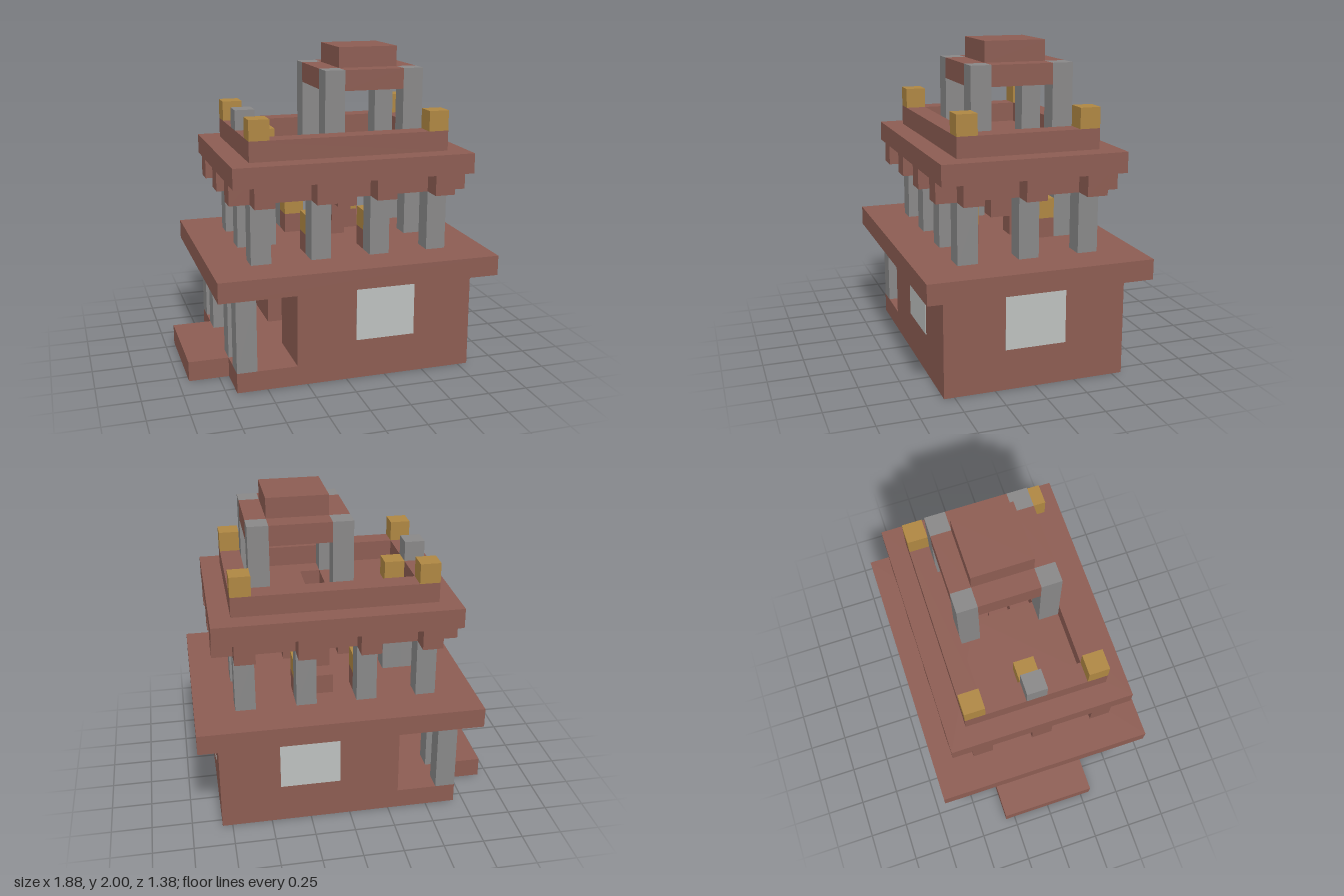
import * as THREE from 'three';

const U = 0.125; // block size

export function createModel() {
  const model = new THREE.Group();
  model.name = 'pavilionHouse';

  const material = (name, color) => {
    const m = new THREE.MeshStandardMaterial({ color });
    m.name = name;
    return m;
  };
  const brick = material('brick', 0x8c5c52);
  const stone = material('stone', 0x888787);
  const wood = material('wood', 0xae8642);
  const glass = material('glass', 0xbcc0be);

  const add = (name, geometry, mat) => {
    const mesh = new THREE.Mesh(geometry, mat);
    mesh.name = name;
    model.add(mesh);
    return mesh;
  };

  // Box from ranges, in blocks
  const box = (name, mat, [x0, x1], [y0, y1], [z0, z1]) => {
    const g = new THREE.BoxGeometry((x1 - x0) * U, (y1 - y0) * U, (z1 - z0) * U);
    add(name, g, mat).position.set((x0 + x1) / 2 * U, (y0 + y1) / 2 * U, (z0 + z1) / 2 * U);
  };
  // One-block-wide post centred on x, z
  const post = (name, mat, x, z, y0, y1) =>
    box(name, mat, [x - 0.5, x + 0.5], [y0, y1], [z - 0.5, z + 0.5]);

  // Upright extrusion of a floor plan, with an optional hole
  const points = (list) => list.map(([x, z]) => new THREE.Vector2(x * U, -z * U));
  const rect = (x0, x1, z) => [[x0, z], [x1, z], [x1, -z], [x0, -z]];
  const plan = (name, mat, outline, hole, y0, y1) => {
    const shape = new THREE.Shape(points(outline));
    if (hole) shape.holes.push(new THREE.Path(points(hole)));
    const g = new THREE.ExtrudeGeometry(shape, { depth: (y1 - y0) * U, bevelEnabled: false });
    g.rotateX(-Math.PI / 2);
    add(name, g, mat).position.y = y0 * U;
  };

  // Ground floor: base, entrance step and walls open towards the porch
  box('base', brick, [-5.5, 6.5], [0, 1], [-4.5, 4.5]);
  box('entranceStep', brick, [-7.5, -5.5], [0, 1], [-2.5, 2.5]);
  plan('groundWalls', brick, [
    [-2.5, 1.5], [-2.5, 4.5], [6.5, 4.5], [6.5, -4.5], [-2.5, -4.5], [-2.5, -1.5],
    [-1.5, -1.5], [-1.5, -3.5], [5.5, -3.5], [5.5, 3.5], [-1.5, 3.5], [-1.5, 1.5],
  ], null, 1, 5);

  // Windows as thin panes
  const t = 0.025;
  for (const s of [-1, 1]) {
    const z = s * 4.5;
    box(s > 0 ? 'frontWindow' : 'backWindow', glass, [0.5, 3.5], [2, 5], [z - t, z + t]);
  }
  box('sideWindow', glass, [6.5 - t, 6.5 + t], [2, 5], [-1.5, 1.5]);

  // Porch columns and brackets
  for (const z of [-4, -2, 2, 4]) post('porchColumn', stone, -5, z, 1, 5);
  for (const z of [-2, 2]) post('porchBracket', wood, -4, z, 4, 5);

  // Terrace
  box('terraceSlab', brick, [-6.5, 7.5], [5, 6], [-5.5, 5.5]);

  // Colonnade, with corbels around the beam above
  const colX = [-4, -1, 2, 5];
  for (const x of colX) {
    for (const z of [-3, 3]) {
      post('terraceColumn', stone, x, z, 6, 9);
      post('corbel', brick, x, z + Math.sign(z), 9, 10);
    }
  }
  for (const x of [-4, 5]) post('terraceColumn', stone, x, 0, 6, 9);
  for (const z of [-3, 0, 3]) {
    post('corbel', brick, -5, z, 9, 10);
    post('corbel', brick, 6, z, 9, 10);
  }
  plan('ringBeam', brick, rect(-4.5, 5.5, 3.5), rect(-3.5, 4.5, 2.5), 9, 10);

  // Furniture inside the colonnade
  for (const x of [-1, 2]) {
    for (const z of [-2, 2]) {
      post('pedestal', brick, x, z, 6, 7);
      post('pedestalTop', wood, x, z, 7, 8);
    }
  }
  post('shortPillar', stone, -3, 0, 6, 8);

  // Stair climbing towards the front
  for (let i = 0; i < 4; i++) post('stairStep', brick, 1, i - 2, Math.max(6, 5 + i), 7 + i);

  // Upper floor with stairwell, and parapet
  plan('upperSlab', brick, rect(-5.5, 6.5, 4.5), rect(0.5, 1.5, 1.5), 10, 11);
  plan('parapet', brick, rect(-4.5, 5.5, 3.5), rect(-3.5, 4.5, 2.5), 11, 12);
  for (const x of [-4, 5]) {
    for (const z of [-3, 3]) post('cornerFinial', wood, x, z, 12, 13);
  }
  post('seatBack', stone, -4, 0, 12, 13);
  post('seat', wood, -3, 0, 11, 12);

  // Roof pavilion
  for (const x of [0, 4]) {
    for (const z of [-2, 2]) post('pavilionColumn', stone, x, z, 11, 15);
    box('pavilionSideBeam', brick, [x - 0.5, x + 0.5], [14, 15], [-1.5, 1.5]);
  }
  for (const z of [-2, 2]) box('pavilionBeam', brick, [0.5, 3.5], [14, 15], [z - 0.5, z + 0.5]);
  box('pavilionCap', brick, [0.5, 3.5], [15, 16], [-1.5, 1.5]);

  return model;
}
